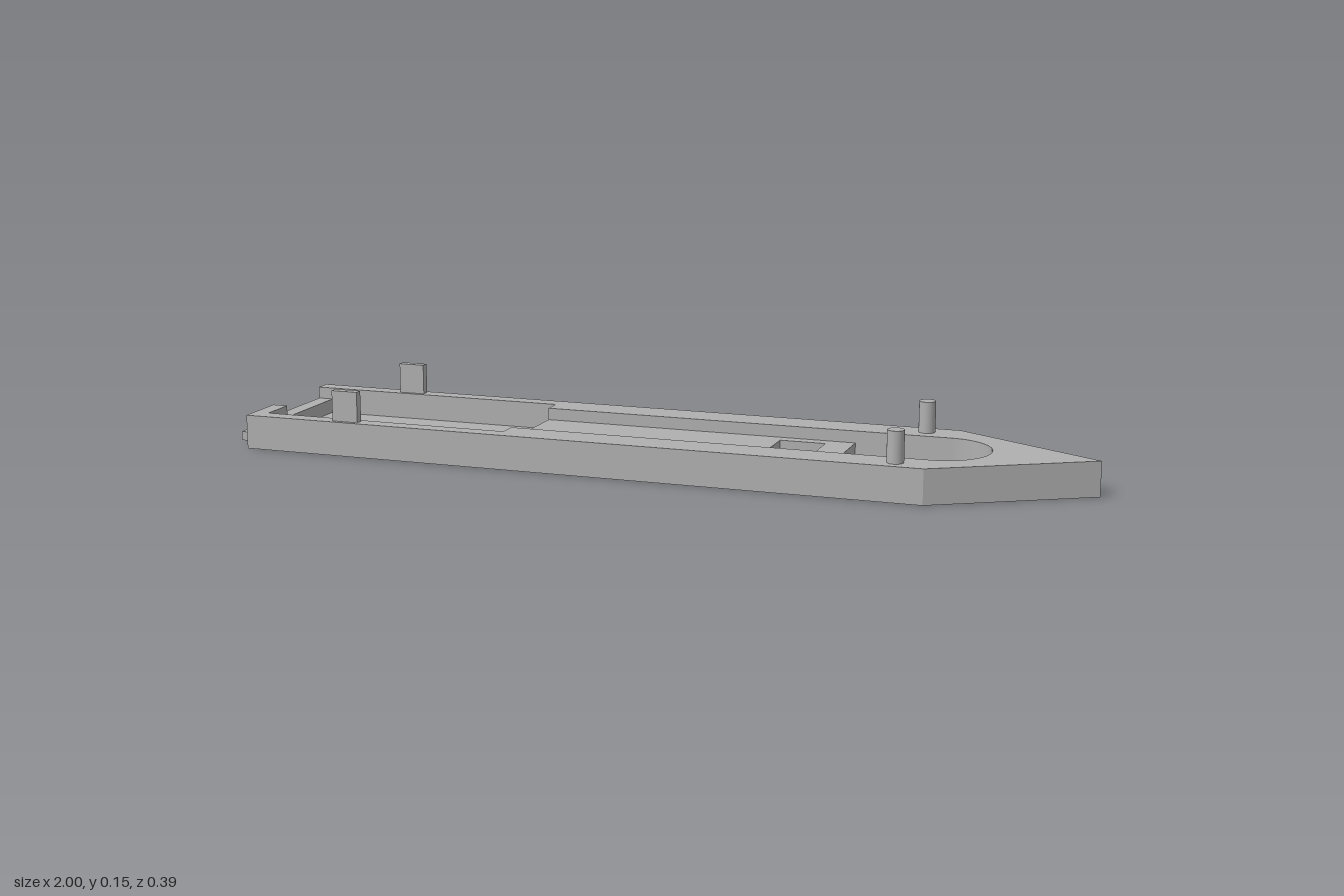
import * as THREE from 'three';

const grey = new THREE.MeshStandardMaterial({ color: 0xb0b0b0 });
grey.name = 'hullGrey';

// Heights of the well floors, the raised floor and the deck
const LOW = 0.018, MID = 0.052, DECK = 0.08;
// Plan dimensions (half widths in z)
const STERN = -0.967, BEND = 0.655, HALF = 0.197;
const WELL = { x0: -0.93, x1: -0.325, half: 0.158 };
const CHANNEL = 0.112, BAY_X = 0.43, ARC_X = 0.651;

export function createModel() {
  const model = new THREE.Group();
  model.name = 'barge';

  const add = (name, geometry, x = 0, y = 0, z = 0) => {
    const mesh = new THREE.Mesh(geometry, grey);
    mesh.name = name;
    mesh.position.set(x, y, z);
    model.add(mesh);
  };
  // Extrude a plan drawn as (x, -z) upward between two heights
  const slab = (name, shape, y0, y1) => {
    const g = new THREE.ExtrudeGeometry(shape, { depth: y1 - y0, bevelEnabled: false, curveSegments: 24 });
    g.rotateX(-Math.PI / 2);
    add(name, g, 0, y0, 0);
  };
  const outline = () => new THREE.Shape([
    [STERN, -HALF], [BEND, -HALF], [1, 0], [BEND, HALF], [STERN, HALF],
  ].map(([x, y]) => new THREE.Vector2(x, y)));
  const rectHole = (x0, x1, half) => new THREE.Path([
    [x0, -half], [x0, half], [x1, half], [x1, -half],
  ].map(([x, y]) => new THREE.Vector2(x, y)));

  // Solid bottom
  slab('hullBottom', outline(), 0, LOW);

  // Middle layer with cargo well, hatch and rounded bow bay
  const middle = outline();
  const bay = new THREE.Path();
  bay.moveTo(BAY_X, -CHANNEL);
  bay.lineTo(ARC_X, -CHANNEL);
  bay.absarc(ARC_X, 0, CHANNEL, -Math.PI / 2, Math.PI / 2, false);
  bay.lineTo(BAY_X, CHANNEL);
  bay.closePath();
  middle.holes.push(rectHole(WELL.x0, WELL.x1, WELL.half), rectHole(0.26, 0.367, 0.083), bay);
  slab('hullMiddle', middle, LOW, MID);

  // Raised rim, open at the stern notch
  const rim = new THREE.Shape();
  rim.moveTo(STERN, -0.07);
  rim.lineTo(STERN, -HALF);
  rim.lineTo(BEND, -HALF);
  rim.lineTo(1, 0);
  rim.lineTo(BEND, HALF);
  rim.lineTo(STERN, HALF);
  rim.lineTo(STERN, WELL.half);
  rim.lineTo(WELL.x1, WELL.half);
  rim.lineTo(WELL.x1, CHANNEL);
  rim.lineTo(ARC_X, CHANNEL);
  rim.absarc(ARC_X, 0, CHANNEL, Math.PI / 2, -Math.PI / 2, true);
  rim.lineTo(WELL.x1, -CHANNEL);
  rim.lineTo(WELL.x1, -WELL.half);
  rim.lineTo(WELL.x0, -WELL.half);
  rim.lineTo(WELL.x0, -0.07);
  rim.closePath();
  slab('deckRim', rim, MID, DECK);

  // Mirrored deck fittings
  const postHeight = 0.072;
  for (const [side, s] of [['left', -1], ['right', 1]]) {
    add(side + 'BowPost', new THREE.CylinderGeometry(0.019, 0.019, postHeight, 32),
      0.585, DECK + postHeight / 2, s * 0.158);
    add(side + 'SternPlate', new THREE.BoxGeometry(0.064, postHeight, 0.019),
      -0.713, DECK + postHeight / 2, s * 0.177);
    add(side + 'SternPeg', new THREE.BoxGeometry(0.033, 0.021, 0.037),
      -0.9835, 0.021, s * 0.147);
  }
  return model;
}
